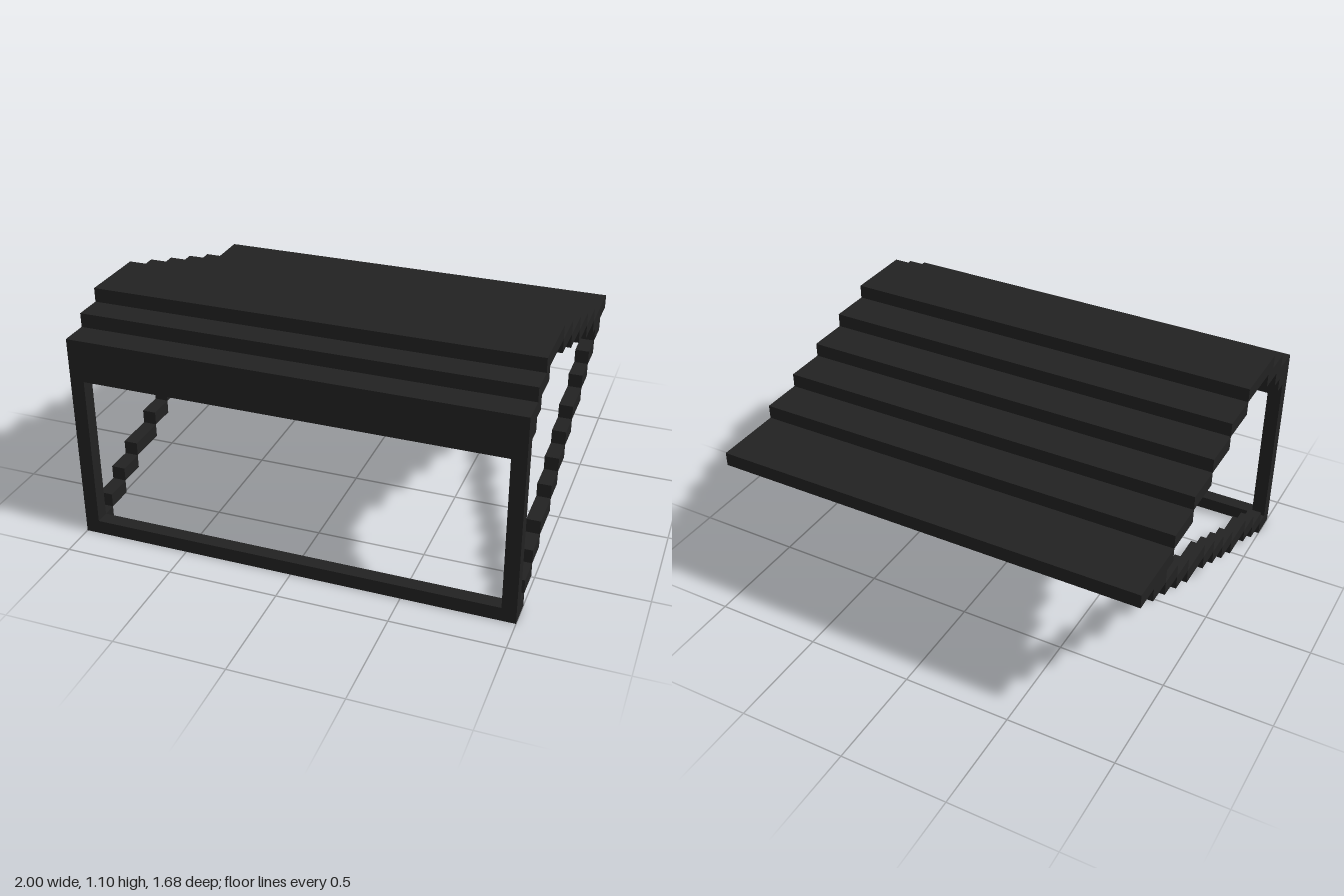
import * as THREE from 'three';

// One block of the grid; the model is 31 wide, 17 high and 26 deep
const U = 2 / 31, WIDTH = 31, DEPTH = 26;

export function createModel() {
  const model = new THREE.Group();
  model.name = 'steppedCanopy';
  const charcoal = new THREE.MeshStandardMaterial({ color: 0x222222 });
  charcoal.name = 'charcoal';

  // Box from block ranges: x from the right side, y from the ground, z from the back
  function block(parent, name, [x0, x1], [y0, y1], [z0, z1]) {
    const mesh = new THREE.Mesh(
      new THREE.BoxGeometry((x1 - x0) * U, (y1 - y0) * U, (z1 - z0) * U), charcoal);
    mesh.position.set(((x0 + x1) / 2 - WIDTH / 2) * U, (y0 + y1) / 2 * U, ((z0 + z1) / 2 - DEPTH / 2) * U);
    mesh.name = name;
    parent.add(mesh);
  }

  function group(name) {
    const g = new THREE.Group();
    g.name = name;
    model.add(g);
    return g;
  }

  // Roof: full-width slats as [row, back, front]
  const roof = group('roof');
  const slats = [
    [11, 0, 5], [12, 5, 8], [13, 8, 11], [14, 11, 14], [15, 14, 17],
    [16, 17, 22], [15, 21, 24], [14, 23, 26], [13, 24, 26],
  ];
  for (const [row, back, front] of slats)
    block(roof, 'roofSlat', [0, WIDTH], [row, row + 1], [back, front]);

  // Front frame: lower lip of the roof and the sill between the posts
  const frame = group('frontFrame');
  block(frame, 'frontLip', [1, WIDTH - 1], [12, 13], [25, 26]);
  block(frame, 'sill', [1, WIDTH - 1], [0, 1], [25, 26]);

  // Each side: a post and a stepped brace rising to the back of the roof
  const steps = [25, 24, 22, 20, 17, 15, 13, 11, 8, 6, 4, 2];
  for (const [side, x] of [['right', 0], ['left', WIDTH - 1]]) {
    block(frame, side + 'Post', [x, x + 1], [0, 13], [25, 26]);
    const brace = group(side + 'Brace');
    for (let row = 0; row < steps.length - 1; row++)
      block(brace, 'braceStep', [x, x + 1], [row, row + 1], [steps[row + 1], steps[row]]);
  }
  return model;
}
